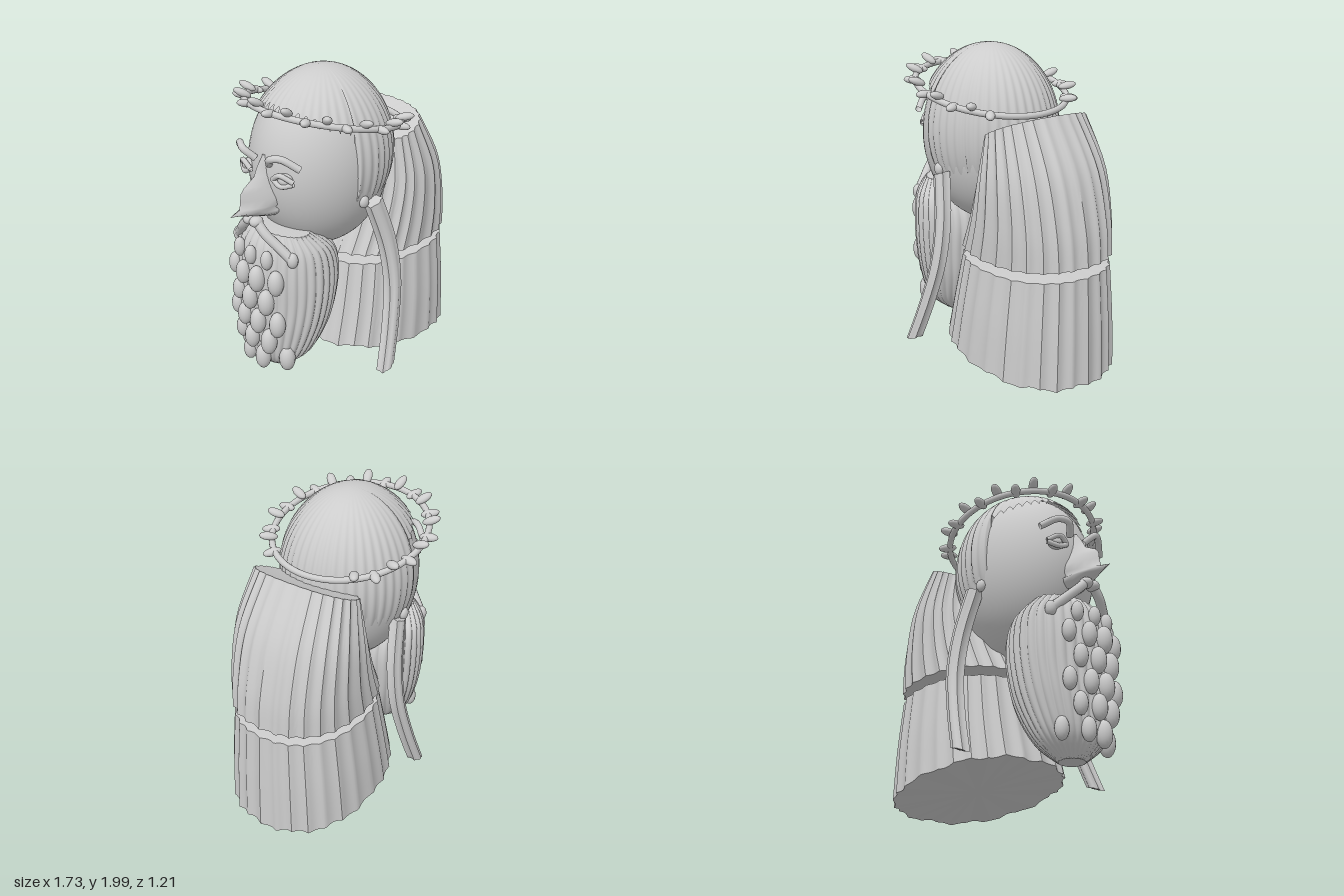
import * as THREE from 'three';
import { toCreasedNormals } from 'three/addons/utils/BufferGeometryUtils.js';

const stone = new THREE.MeshStandardMaterial({ color: 0xcccccc, side: THREE.DoubleSide });
stone.name = 'pale stone grey';
const CZ = -0.04; // depth of the symmetry plane
const V = (x, y, z) => new THREE.Vector3(x, y, CZ + z);

// Skin a stack of rings (lowest first); caps are height offsets of the cap centres
function loft(rings, { caps = [0, 0], crease = 0 } = {}) {
  const n = rings[0].length, pos = [], idx = [];
  rings.forEach(r => r.forEach(p => pos.push(p.x, p.y, p.z)));
  for (let r = 0; r < rings.length - 1; r++)
    for (let i = 0; i < n; i++) {
      const j = (i + 1) % n, a = r * n + i, b = r * n + j;
      idx.push(a, a + n, b, b, a + n, b + n);
    }
  if (caps) [0, rings.length - 1].forEach((r, k) => {
    const c = new THREE.Vector3();
    rings[r].forEach(p => c.addScaledVector(p, 1 / n));
    const base = pos.length / 3;
    pos.push(c.x, c.y + caps[k], c.z);
    rings[r].forEach(p => pos.push(p.x, p.y, p.z));
    for (let i = 0; i < n; i++) {
      const a = base + 1 + i, b = base + 1 + (i + 1) % n;
      if (k) idx.push(base, b, a); else idx.push(base, a, b);
    }
  });
  const g = new THREE.BufferGeometry();
  g.setAttribute('position', new THREE.Float32BufferAttribute(pos, 3));
  g.setIndex(idx);
  g.computeVertexNormals();
  return crease ? toCreasedNormals(g, crease) : g;
}

const spow = (v, e) => Math.sign(v) * Math.pow(Math.abs(v), e);

// Ring spanning a left point and a right point (so it may tilt), with half depth rz
function ring([lx, ly, rx, ry, rz], n, { e = 1, rib = () => 1, wave = 0 } = {}) {
  return Array.from({ length: n }, (_, i) => {
    const a = i / n * Math.PI * 2, k = rib(a), c = spow(Math.cos(a), e) * k;
    return V((lx + rx) / 2 + c * (rx - lx) / 2, (ly + ry) / 2 + c * (ry - ly) / 2 + wave * Math.sin(a * 11),
      spow(Math.sin(a), e) * rz * k);
  });
}

// Smoothly resample a few section rows
function resample(rows, count) {
  const out = [];
  for (let i = 0; i <= count; i++) {
    const t = i / count * (rows.length - 1), k = Math.min(Math.floor(t), rows.length - 2), f = t - k;
    out.push(rows[k].map((_, d) => {
      const p = q => rows[Math.max(0, Math.min(rows.length - 1, q))][d];
      const m0 = (p(k + 1) - p(k - 1)) / 2, m1 = (p(k + 2) - p(k)) / 2;
      return (2 * f ** 3 - 3 * f * f + 1) * p(k) + (f ** 3 - 2 * f * f + f) * m0
        + (3 * f * f - 2 * f ** 3) * p(k + 1) + (f ** 3 - f * f) * m1;
    }));
  }
  return out;
}

export function createModel() {
  const model = new THREE.Group();
  const add = (name, geo, parent = model) => {
    const m = new THREE.Mesh(geo, stone);
    m.name = name;
    parent.add(m);
    return m;
  };
  const blob = (name, p, sx, sy, sz, parent, detail = 16) => {
    const m = add(name, new THREE.SphereGeometry(1, detail, detail * 0.75), parent);
    m.position.copy(p);
    m.scale.set(sx, sy, sz);
    return m;
  };

  // Head
  blob('head', V(-0.14, 1.41, 0), 0.475, 0.565, 0.405, model, 48);

  // Ribbed hair: short in front with a jagged fringe, longer and stepped at sides and back
  const N = 264, hair = [];
  for (let r = 0; r <= 24; r++) {
    hair.push(Array.from({ length: N }, (_, i) => {
      const a = i / N * Math.PI * 2, c = Math.cos(a);
      const fringe = 1.64 - 0.15 * c + 0.045 * Math.abs(Math.sin(a * 22));
      const nape = c > 0.5 ? 1.25 : c > 0.3 ? 1.12 : c > 0.05 ? 1.1 : 1.22;
      const th = Math.acos(((c < -0.2 ? fringe : nape) - 1.47) / 0.53) * (1 - r / 24);
      const k = 1 + 0.014 * Math.sin(a * 44) * Math.sin(th);
      return V(-0.12 + (c < 0 ? 0.505 : 0.455) * Math.sin(th) * c * k, 1.47 + 0.53 * Math.cos(th),
        0.425 * Math.sin(th) * Math.sin(a) * k);
    }));
  }
  add('hair', loft(hair, { caps: null }));

  // Nose: pointed horizontal sections
  const nose = [[1.17, 0.12, 0.06], [1.2, 0.21, 0.09], [1.225, 0.28, 0.1], [1.24, 0.35, 0.08], [1.26, 0.28, 0.1], [1.31, 0.27, 0.1],
    [1.36, 0.265, 0.08], [1.39, 0.24, 0.07], [1.44, 0.16, 0.06], [1.5, 0.13, 0.05], [1.56, 0.09, 0.04]];
  add('nose', loft(nose.map(([y, len, w]) => Array.from({ length: 24 }, (_, i) => {
    const a = i / 24 * Math.PI * 2, c = Math.cos(a), s = Math.sin(a);
    return V(-0.52 + len * (c < 0 ? c : c * 0.2), y, w * s * Math.abs(s));
  }))));

  // Paired face details
  for (const s of [1, -1]) {
    const tube = (name, pts, r) => add(name, new THREE.TubeGeometry(
      new THREE.CatmullRomCurve3(pts.map(([x, y, z]) => V(x, y, s * z))), 20, r, 10));
    blob('eye', V(-0.575, 1.44, s * 0.16), 0.045, 0.04, 0.05);
    tube('upperLid', [[-0.62, 1.44, 0.1], [-0.62, 1.48, 0.16], [-0.575, 1.44, 0.23]], 0.016);
    tube('lowerLid', [[-0.62, 1.44, 0.1], [-0.615, 1.41, 0.16], [-0.575, 1.43, 0.23]], 0.016);
    tube('eyebrow', [[-0.61, 1.52, 0.06], [-0.655, 1.58, 0.12], [-0.625, 1.59, 0.18], [-0.555, 1.53, 0.27]], 0.022);
    tube('moustache', [[-0.7, 1.17, 0.03], [-0.69, 1.1, 0.1], [-0.655, 1.03, 0.17], [-0.615, 0.95, 0.25]], 0.03);
    blob('moustacheRoot', V(-0.7, 1.165, s * 0.03), 0.045, 0.035, 0.04);
    blob('moustacheTip', V(-0.615, 0.95, s * 0.25), 0.035, 0.05, 0.035);
    blob('earLobe', V(-0.15, 1.23, s * 0.39), 0.035, 0.04, 0.025);

    // Long curved side lock, flaring outward in a straight line
    const lock = resample([[-0.155, 0.13], [-0.065, 0.4], [-0.005, 0.67], [-0.015, 0.94], [-0.09, 1.22]], 24);
    const [top, end] = s > 0 ? [0.41, 0.6] : [0.385, 0.525];
    add('sideLock', loft(lock.map(([x, y]) => Array.from({ length: 24 }, (_, i) => {
      const a = i / 24 * Math.PI * 2, g = 1 - 0.12 * Math.cos(a * 6);
      const z = end + (top - end) * (y - 0.13) / 1.09;
      return V(x + 0.052 * spow(Math.cos(a), 0.7) * g, y + 0.02 * Math.cos(a),
        s * (z + 0.04 * spow(s * Math.sin(a), 0.7) * g));
    })), { crease: 0.9 }));
  }

  // Ribbed beard
  const beardRows = resample([[-0.6, 0.085, -0.44, 0.085, 0.08], [-0.7, 0.2, -0.31, 0.2, 0.21], [-0.73, 0.4, -0.2, 0.4, 0.29],
    [-0.73, 0.6, -0.155, 0.6, 0.33], [-0.73, 0.8, -0.14, 0.8, 0.34], [-0.7, 0.98, -0.2, 0.94, 0.32], [-0.64, 1.08, -0.36, 1.06, 0.24]], 28);
  add('beard', loft(beardRows.map(r => ring(r, 256, { rib: a => 0.97 + 0.05 * Math.abs(Math.sin(a * 16)) })), { caps: [-0.005, 0.01] }));

  // Curls on the front of the beard
  const curls = new THREE.Group();
  curls.name = 'beardCurls';
  model.add(curls);
  [0.22, 0.36, 0.5, 0.65, 0.8, 0.94].forEach((y, row) => {
    const near = beardRows.reduce((b, r) => Math.abs(r[1] - y) < Math.abs(b[1] - y) ? r : b);
    for (const c of row % 2 ? [-1, 0, 1] : [-1.5, -0.5, 0.5, 1.5]) {
      const zz = c * 0.125, k = Math.sqrt(Math.max(0.1, 1 - (zz / near[4]) ** 2));
      const size = row === 5 ? 0.75 : 0.95 + 0.1 * Math.sin(row * 3 + c * 5);
      blob('curl', V((near[0] + near[2]) / 2 - k * (near[2] - near[0]) / 2 - 0.02, y, zz),
        0.05 * size, 0.085 * size, 0.05 * size, curls);
    }
  });

  // Mantle in two tiers with sharp outward pleats
  const pleat = amp => a => 1 + amp - amp * 2 * Math.abs(Math.sin(a * 14 + 0.35 * Math.sin(a * 3)));
  const upper = resample([[-0.12, 0.76, 0.82, 0.765, 0.415], [-0.01, 0.98, 0.79, 1.0, 0.415], [0.09, 1.22, 0.695, 1.32, 0.405], [0.16, 1.47, 0.51, 1.63, 0.35]], 14);
  add('upperMantle', loft(upper.map(r => ring(r, 224, { e: 0.85, rib: pleat(0.022) })), { caps: [-0.03, -0.01], crease: 0.6 }));
  const lower = resample([[-0.27, 0.15, 0.85, 0.015, 0.465], [-0.2, 0.42, 0.84, 0.35, 0.445], [-0.135, 0.7, 0.82, 0.7, 0.41]], 10);
  add('lowerMantle', loft(lower.map((r, i) => ring(r, 224, { e: 0.88, rib: pleat(0.018), wave: i ? 0 : 0.008 })), { caps: [0, 0.03], crease: 0.6 }));

  // Tilted leafy circlet, open of leaves at the back
  const wreath = new THREE.Group();
  wreath.name = 'wreath';
  wreath.position.copy(V(-0.115, 1.72, 0));
  wreath.rotation.z = -0.225;
  model.add(wreath);
  add('wreathBand', new THREE.TorusGeometry(0.485, 0.02, 12, 72).rotateX(Math.PI / 2), wreath);
  const leaves = 22;
  for (let i = 0; i < leaves; i++) {
    const a = 0.65 + i / (leaves - 1) * (Math.PI * 2 - 1.3);
    const leaf = blob('leaf', new THREE.Vector3(0.5 * Math.cos(a), i % 2 ? 0.035 : 0, 0.5 * Math.sin(a)), 0.058, 0.024, 0.03, wreath);
    leaf.rotation.set(0, -a, i % 2 ? 0.3 : 0, 'YXZ');
  }
  return model;
}
